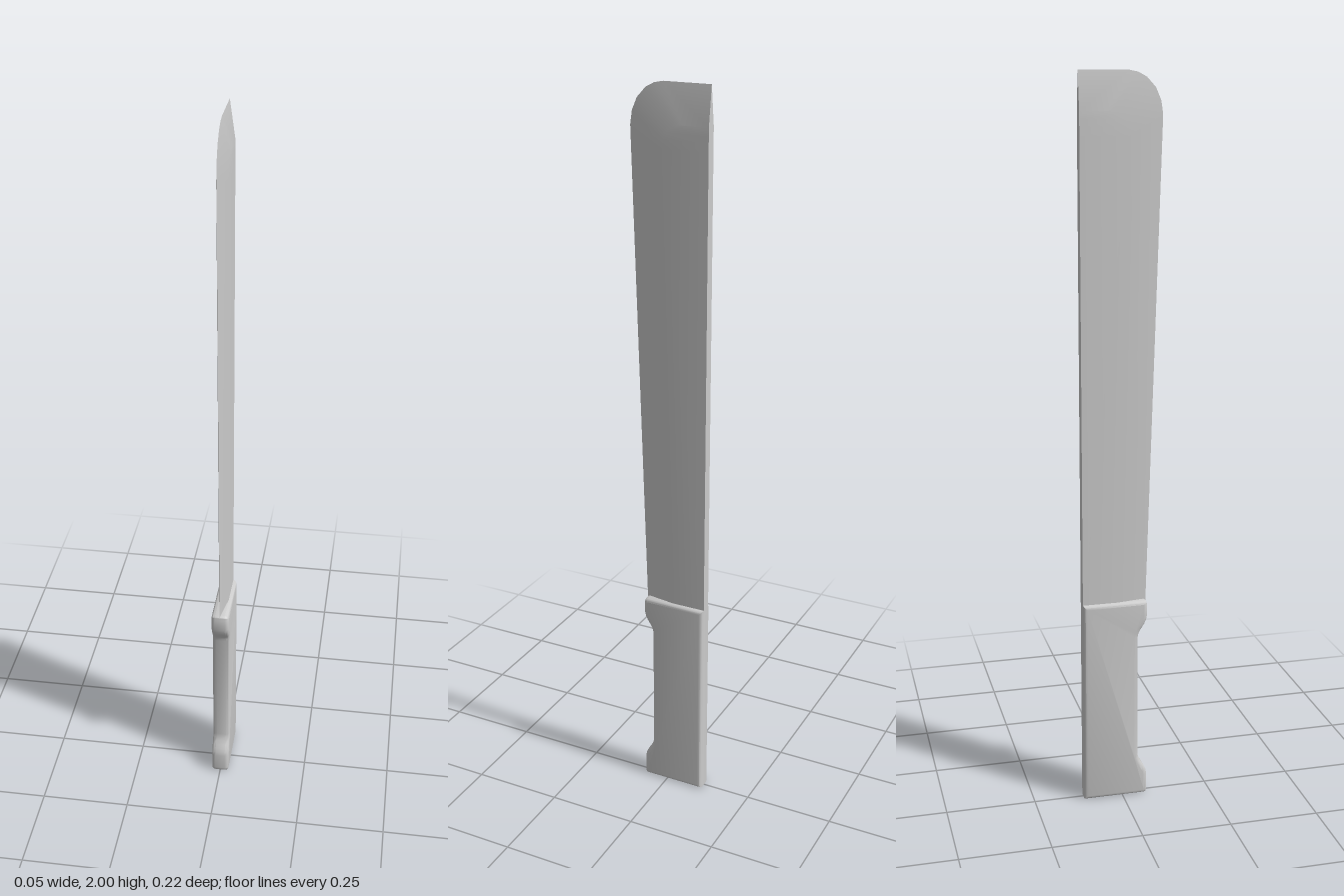
import * as THREE from 'three';
import { toCreasedNormals } from 'three/addons/utils/BufferGeometryUtils.js';

const material = new THREE.MeshStandardMaterial({ color: 0xcccccc });
const BACK = -0.11; // z of the straight spine

// Blade: flat cheeks bevelled to a sharp front and top edge, with a flat spine
function createBlade() {
  const t = 0.014;
  // each row: sharp edge [z, y], start of the bevel [z, y]
  const rows = [
    [[0.07, 0.57], [-0.015, 0.57]],
    [[0.111, 1.89], [0.02, 1.84]],
    [[0.106, 1.925], [0.016, 1.862]],
    [[0.092, 1.957], [0.006, 1.88]],
    [[0.068, 1.983], [-0.01, 1.893]],
    [[0.045, 1.995], [-0.025, 1.899]],
    [[0.02, 2], [-0.04, 1.9]],
    [[BACK, 2], [BACK, 1.9]],
  ];
  const pos = [];
  const tri = (a, b, c, flip) => pos.push(...a, ...(flip ? c : b), ...(flip ? b : c));
  for (const s of [1, -1]) {
    const flip = s < 0;
    const pts = rows.map(([e, b]) => ({
      edge: [0, e[1], e[0]],
      bevel: [s * t, b[1], b[0]],
      spine: [s * t, b[1], BACK],
    }));
    for (let i = 0; i < pts.length - 1; i++) {
      const p = pts[i], q = pts[i + 1];
      tri(p.spine, q.bevel, p.bevel, flip);
      if (i < pts.length - 2) tri(p.spine, q.spine, q.bevel, flip);
      tri(p.bevel, q.bevel, p.edge, flip);
      tri(q.bevel, q.edge, p.edge, flip);
    }
  }
  // Spine strip ending in a point
  const y0 = rows[0][0][1], y1 = 1.9;
  const a = [-t, y0, BACK], b = [-t, y1, BACK], c = [t, y1, BACK], d = [t, y0, BACK];
  tri(a, b, d);
  tri(b, c, d);
  tri(b, [0, 2, BACK], c);
  const geo = new THREE.BufferGeometry();
  geo.setAttribute('position', new THREE.Float32BufferAttribute(pos, 3));
  return toCreasedNormals(geo, 0.6);
}

// Handle: side outline with a finger recess, extruded across x with rounded edges
function createHandle() {
  const half = 0.025, bevel = 0.011, top = 0.585;
  const s = new THREE.Shape();
  s.moveTo(BACK, 0);
  s.lineTo(0.062, 0);
  s.quadraticCurveTo(0.071, 0, 0.071, 0.012);
  s.lineTo(0.071, 0.06);
  s.bezierCurveTo(0.069, 0.085, 0.045, 0.1, 0.045, 0.125);
  s.lineTo(0.045, 0.48);
  s.bezierCurveTo(0.045, 0.5, 0.069, 0.515, 0.071, 0.54);
  s.lineTo(0.071, top - 0.012);
  s.quadraticCurveTo(0.071, top, 0.062, top);
  s.lineTo(BACK, top);
  s.closePath();
  const geo = new THREE.ExtrudeGeometry(s, {
    depth: 2 * (half - bevel),
    bevelThickness: bevel,
    bevelSize: bevel,
    bevelOffset: -bevel,
    bevelSegments: 3,
    curveSegments: 6,
  });
  geo.translate(0, 0, -(half - bevel));
  geo.rotateY(-Math.PI / 2); // outline x becomes z
  return toCreasedNormals(geo, 0.7);
}

export function createModel() {
  const group = new THREE.Group();
  group.name = 'machete';
  for (const [name, geo] of [['blade', createBlade()], ['handle', createHandle()]]) {
    const mesh = new THREE.Mesh(geo, material);
    mesh.name = name;
    group.add(mesh);
  }
  return group;
}
